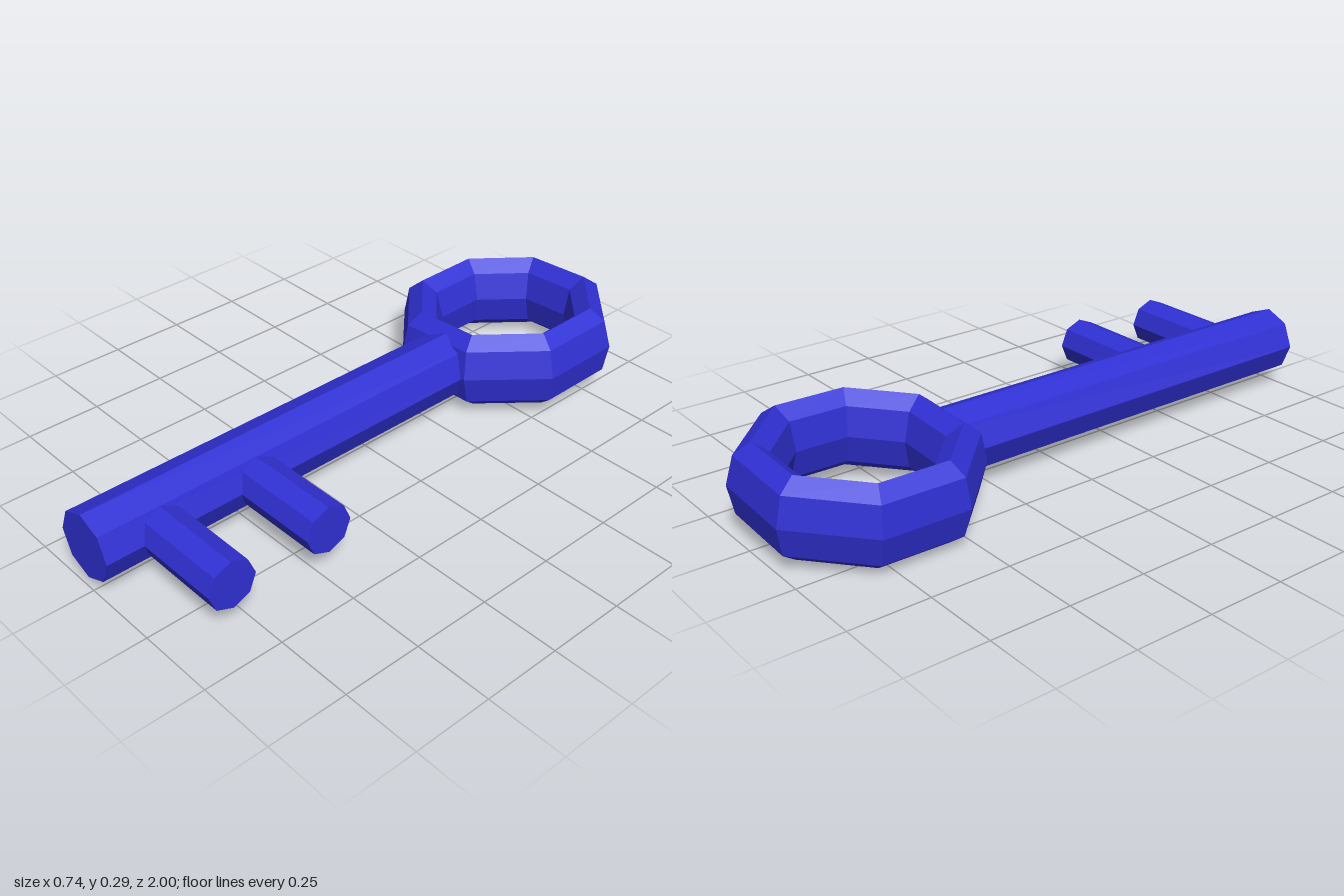
import * as THREE from 'three';

export function createModel() {
  const group = new THREE.Group();
  group.name = 'key';

  const blue = new THREE.MeshStandardMaterial({ color: 0x3030d4, flatShading: true });
  blue.name = 'royal blue';

  const addPart = (name, geometry, x, y, z) => {
    const mesh = new THREE.Mesh(geometry, blue);
    mesh.name = name;
    mesh.position.set(x, y, z);
    group.add(mesh);
    return mesh;
  };

  // Eight-sided rod centred on its own axis
  const rod = (radius, length) => new THREE.CylinderGeometry(radius, radius, length, 8);

  const axisX = -0.017, axisY = 0.145;

  // Shaft runs from the front tip into the ring
  const shaftBack = -0.41, shaftFront = 1;
  addPart('shaft', rod(0.1075, shaftFront - shaftBack).rotateX(Math.PI / 2),
    axisX, axisY, (shaftFront + shaftBack) / 2);

  // Two teeth on the left side, starting inside the shaft
  const toothStart = 0, toothEnd = 0.372;
  [['frontTooth', 0.803], ['rearTooth', 0.472]].forEach(([name, z]) => {
    addPart(name, rod(0.0775, toothEnd - toothStart).rotateZ(-Math.PI / 2),
      (toothStart + toothEnd) / 2, axisY, z);
  });

  // Octagonal bow ring, taller than it is thick and slightly tilted
  const ringGeometry = new THREE.TorusGeometry(0.2933, 0.0714, 8, 8)
    .rotateZ(Math.PI / 8)
    .scale(1, 1, 1.79)
    .rotateX(Math.PI / 2);
  const ring = addPart('bowRing', ringGeometry, -0.034, 0.145, -0.665);
  ring.rotation.set(0.013, 0, 0.057);

  return group;
}
